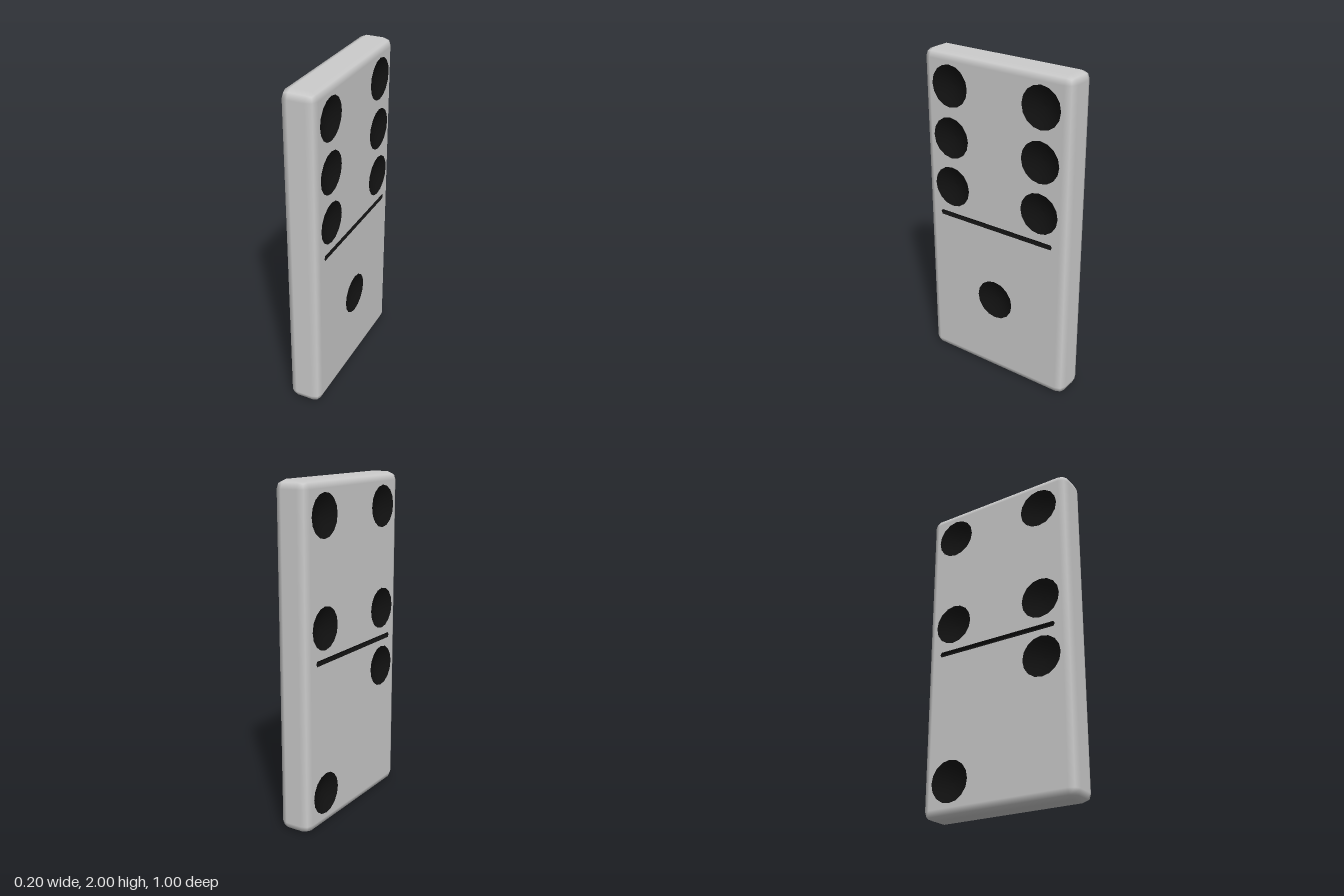
import * as THREE from 'three';
import { RoundedBoxGeometry } from 'three/addons/geometries/RoundedBoxGeometry.js';

const THICK = 0.2, HEIGHT = 2, WIDTH = 1, BEVEL = 0.05;
const PIP = { r: 0.125, depth: 0.04, sides: 16, phase: 0, stretch: 0 };
const GROOVE = { r: 0.018, depth: 0.015, sides: 6, phase: Math.PI / 6, stretch: 0.385 };

const bodyMaterial = new THREE.MeshStandardMaterial({ color: 0xcccccc });
const inkMaterial = new THREE.MeshStandardMaterial({ color: 0x111111, side: THREE.DoubleSide });

// Rounded shell without its two broad faces, which are cut separately
function shellGeometry() {
  const box = new RoundedBoxGeometry(THICK, HEIGHT, WIDTH, 1, BEVEL);
  const geo = box.index ? box.toNonIndexed() : box;
  const p = geo.attributes.position, n = geo.attributes.normal;
  const pos = [], nor = [];
  for (let i = 0; i < p.count; i += 3) {
    const onFace = [0, 1, 2].every(k => Math.abs(p.getX(i + k)) > THICK / 2 - 1e-4);
    if (onFace) continue;
    for (let k = i; k < i + 3; k++) {
      pos.push(p.getX(k), p.getY(k), p.getZ(k));
      nor.push(n.getX(k), n.getY(k), n.getZ(k));
    }
  }
  const out = new THREE.BufferGeometry();
  out.setAttribute('position', new THREE.Float32BufferAttribute(pos, 3));
  out.setAttribute('normal', new THREE.Float32BufferAttribute(nor, 3));
  return out;
}

// Outline of a recess, matching the rim of its bowl
function rimPath(x, y, { r, sides, phase, stretch }) {
  const pts = [];
  for (let i = 0; i < sides; i++) {
    const a = phase + (i / sides) * Math.PI * 2;
    const u = Math.sin(a) * r;
    pts.push(new THREE.Vector2(x + u + Math.sign(u) * stretch, y - Math.cos(a) * r));
  }
  return new THREE.Path(pts);
}

// Shallow bowl sunk below z = 0, optionally drawn out sideways into a groove
function bowlGeometry({ r, depth, sides, phase, stretch }) {
  const profile = [];
  for (let i = 0; i <= 4; i++) {
    const t = i / 4;
    profile.push(new THREE.Vector2(Math.max(r * (1 - t), 0.0002), -depth * (1 - (1 - t) ** 2)));
  }
  const geo = new THREE.LatheGeometry(profile, sides, phase).rotateX(Math.PI / 2);
  const p = geo.attributes.position;
  if (stretch) {
    for (let i = 0; i < p.count; i++) p.setX(i, p.getX(i) + Math.sign(p.getX(i)) * stretch);
  }
  return geo;
}

// One broad face with its pips and dividing groove, facing local +z
function createFace(name, pips) {
  const face = new THREE.Group();
  face.name = name;
  const w = WIDTH / 2 - BEVEL, h = HEIGHT - BEVEL;
  const shape = new THREE.Shape([
    new THREE.Vector2(-w, BEVEL), new THREE.Vector2(w, BEVEL),
    new THREE.Vector2(w, h), new THREE.Vector2(-w, h),
  ]);

  const addRecess = (label, x, y, spec) => {
    shape.holes.push(rimPath(x, y, spec));
    const mesh = new THREE.Mesh(bowlGeometry(spec), inkMaterial);
    mesh.name = label;
    mesh.position.set(x, y, 0);
    face.add(mesh);
  };
  pips.forEach(([x, y]) => addRecess('pip', x, y, PIP));
  addRecess('dividingGroove', 0, HEIGHT / 2, GROOVE);

  const plate = new THREE.Mesh(new THREE.ShapeGeometry(shape), bodyMaterial);
  plate.name = 'facePlate';
  face.add(plate);
  return face;
}

export function createModel() {
  const model = new THREE.Group();
  model.name = 'domino';

  const shell = new THREE.Mesh(shellGeometry(), bodyMaterial);
  shell.name = 'roundedEdges';
  shell.position.y = HEIGHT / 2;
  model.add(shell);

  // Pip grid: column offset and rows of the upper and lower halves
  const c = 0.31, top = 1.805, mid = 1.495, low = 1.187;
  const pairs = rows => rows.flatMap(y => [[-c, y], [c, y]]);

  const sixOne = createFace('sixOneFace', [...pairs([top, mid, low]), [0, 0.51]]);
  sixOne.rotation.y = Math.PI / 2;
  sixOne.position.x = THICK / 2;

  const fourTwo = createFace('fourTwoFace', [...pairs([top, low]), [c, 0.82], [-c, 0.2]]);
  fourTwo.rotation.y = -Math.PI / 2;
  fourTwo.position.x = -THICK / 2;

  model.add(sixOne, fourTwo);
  return model;
}
